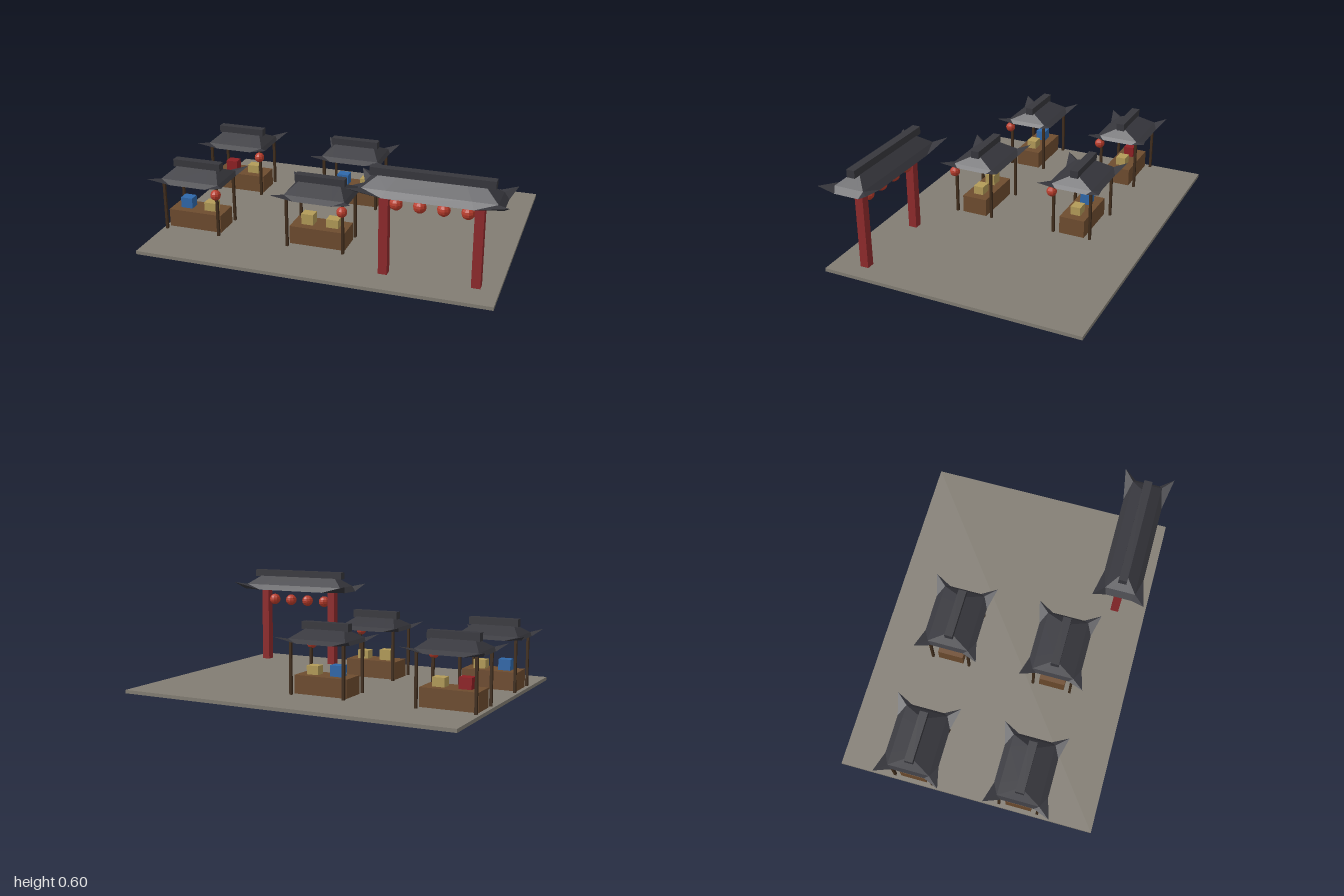
import * as THREE from 'three';

const mat = (name, color) => {
  const m = new THREE.MeshStandardMaterial({ color });
  m.name = name;
  return m;
};

export function createModel() {
  const M = {
    stone: mat('paving stone', 0x827d73),
    tile: mat('roof tile', 0x37373d),
    wood: mat('counter wood', 0x6e4c2f),
    darkWood: mat('dark post wood', 0x402d1c),
    redPaint: mat('gate red', 0x8f2a2c),
    lantern: mat('lantern red', 0xb83c2b),
    straw: mat('straw goods', 0xb39b58),
    blue: mat('blue goods', 0x2f68aa),
    crimson: mat('crimson goods', 0x8f2024),
  };

  const add = (parent, name, geo, material, x = 0, y = 0, z = 0) => {
    const mesh = new THREE.Mesh(geo, material);
    mesh.name = name;
    mesh.position.set(x, y, z);
    parent.add(mesh);
    return mesh;
  };

  // box given by its bottom height and top height
  const block = (parent, name, material, w, d, y0, y1, x = 0, z = 0) =>
    add(parent, name, new THREE.BoxGeometry(w, y1 - y0, d), material, x, (y0 + y1) / 2, z);

  // small faceted paper lantern
  const lantern = (parent, r, x, y, z) => {
    const geo = new THREE.SphereGeometry(r, 10, 8).toNonIndexed();
    geo.computeVertexNormals();
    add(parent, 'lantern', geo, M.lantern, x, y, z);
  };

  // twelve points: each corner with a neighbour on either edge
  const ring = ({ edge: [ex, ez, ey], inner: [ix, iz], corner: [cx, cz, cy] }) => {
    const pts = [];
    [[1, 1], [1, -1], [-1, -1], [-1, 1]].forEach(([sx, sz], i) => {
      const alongX = [sx * ix, ey, sz * ez];
      const alongZ = [sx * ex, ey, sz * iz];
      const corner = [sx * cx, cy, sz * cz];
      pts.push(...(i % 2 ? [alongZ, corner, alongX] : [alongX, corner, alongZ]));
    });
    return pts;
  };

  // swept roof: eave ring with raised tips, shoulder ring, ridge ring
  const roofGeometry = (rings) => {
    const [eave, shoulder, top] = rings.map(ring);
    const out = [];
    const tri = (a, b, c) => out.push(...a, ...b, ...c);
    const centre = [0, eave[0][1], 0];
    for (let i = 0; i < 12; i++) {
      const j = (i + 1) % 12;
      for (const [lo, hi] of [[eave, shoulder], [shoulder, top]]) {
        if (i % 3 === 1) { // mirror the diagonal on the far side of each corner
          tri(lo[i], lo[j], hi[i]);
          tri(lo[j], hi[j], hi[i]);
        } else {
          tri(lo[i], lo[j], hi[j]);
          tri(lo[i], hi[j], hi[i]);
        }
      }
      tri(top[i], top[j], [0, top[0][1], 0]);
    }
    // underside: flat soffit plus a rising triangle below each tip
    for (let c = 0; c < 12; c += 3) {
      const [before, tip, after] = eave.slice(c, c + 3);
      tri(after, tip, before);
      tri(after, before, centre);
      tri(eave[(c + 3) % 12], after, centre);
    }
    const geo = new THREE.BufferGeometry();
    geo.setAttribute('position', new THREE.Float32BufferAttribute(out, 3));
    geo.computeVertexNormals();
    return geo;
  };

  const stallRoof = roofGeometry([
    { edge: [0.183, 0.147, 0.3], inner: [0.105, 0.09], corner: [0.222, 0.178, 0.333] },
    { edge: [0.168, 0.115, 0.319], inner: [0.1, 0.07], corner: [0.168, 0.115, 0.319] },
    { edge: [0.118, 0.022, 0.364], inner: [0.07, 0.012], corner: [0.118, 0.022, 0.364] },
  ]);
  const gateRoof = roofGeometry([
    { edge: [0.362, 0.11, 0.475], inner: [0.225, 0.07], corner: [0.396, 0.141, 0.519] },
    { edge: [0.335, 0.083, 0.506], inner: [0.21, 0.05], corner: [0.335, 0.083, 0.506] },
    { edge: [0.268, 0.022, 0.557], inner: [0.17, 0.012], corner: [0.268, 0.022, 0.557] },
  ]);

  const model = new THREE.Group();
  model.name = 'marketSquare';
  block(model, 'paving', M.stone, 1.914, 1.436, 0, 0.019, 0.002);

  const FOOT = -0.0005; // feet reach just through the paving

  // market stalls
  const stall = (x, z, goods) => {
    const g = new THREE.Group();
    g.name = 'stall';
    g.position.set(x, 0, z);
    block(g, 'counter', M.wood, 0.312, 0.146, FOOT, 0.12);
    for (const sx of [-1, 1])
      for (const sz of [-1, 1])
        block(g, 'stallPost', M.darkWood, 0.014, 0.014, FOOT, 0.31, sx * 0.157, sz * 0.108);
    block(g, 'tallGoods', goods, 0.068, 0.058, 0.12, 0.18, -0.07);
    block(g, 'lowGoods', M.straw, 0.068, 0.058, 0.12, 0.168, 0.072);
    add(g, 'stallRoof', stallRoof, M.tile);
    block(g, 'stallRidge', M.tile, 0.278, 0.046, 0.36, 0.402);
    lantern(g, 0.029, 0.157, 0.265, 0.12);
    model.add(g);
  };
  stall(-0.775, 0.3, M.blue);
  stall(-0.057, 0.3, M.straw);
  stall(-0.775, -0.3, M.crimson);
  stall(-0.057, -0.3, M.blue);

  // entrance gate
  const gate = new THREE.Group();
  gate.name = 'gate';
  gate.position.set(0.602, 0, 0.54);
  for (const s of [-1, 1])
    block(gate, 'gatePost', M.redPaint, 0.047, 0.047, FOOT, 0.48, s * 0.239);
  add(gate, 'gateRoof', gateRoof, M.tile);
  block(gate, 'gateRidge', M.tile, 0.622, 0.046, 0.553, 0.595);
  for (const x of [-0.18, -0.06, 0.06, 0.18]) lantern(gate, 0.034, x, 0.408, 0);
  model.add(gate);

  return model;
}
